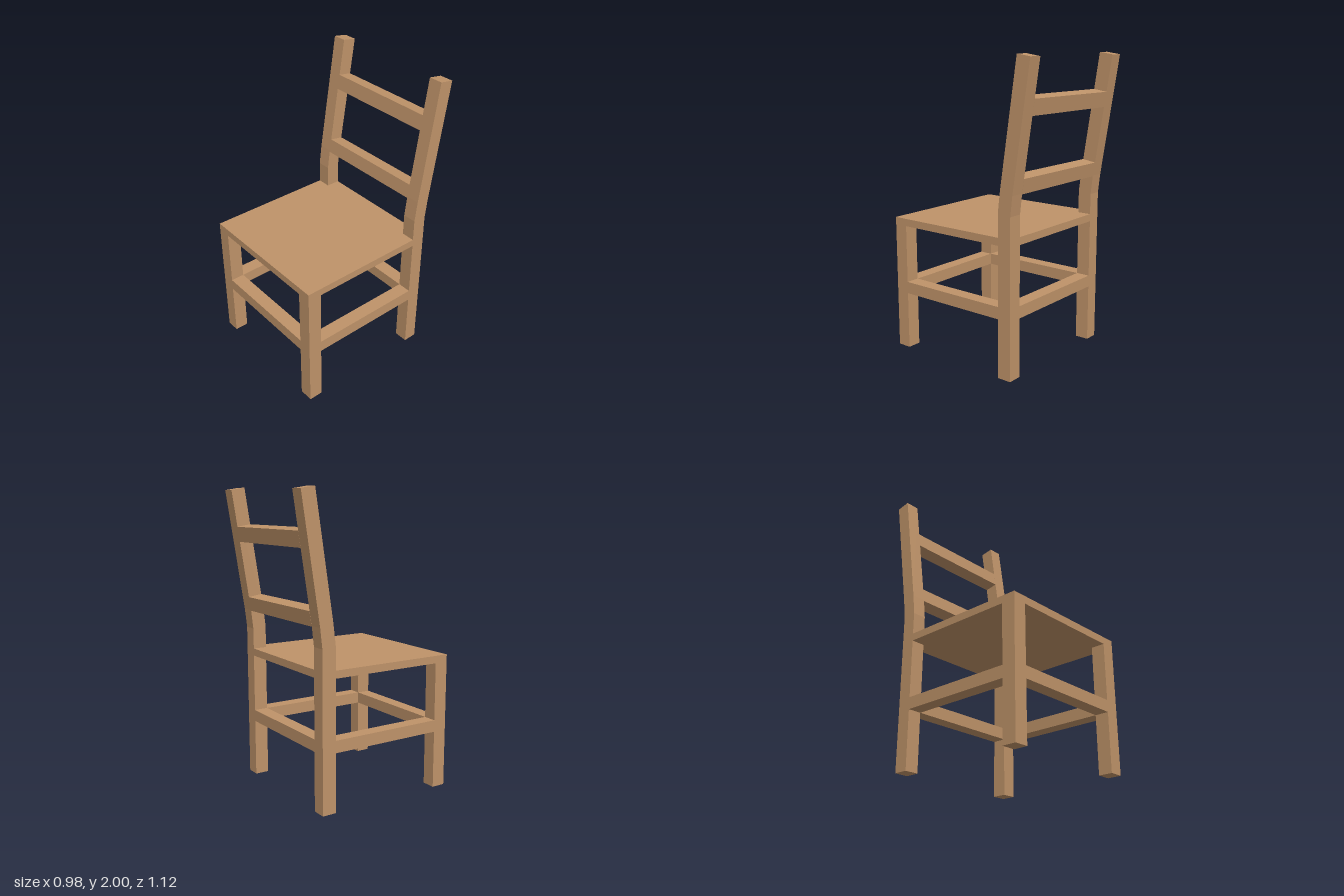
import * as THREE from 'three';

const W = 0.49;      // half width
const D = 0.56;      // half depth
const T = 0.095;     // post thickness
const FRONT = -0.325, BACK = -0.42; // planes of the upright back posts

const shapeOf = (pts) => new THREE.Shape(pts.map(([a, b]) => new THREE.Vector2(a, b)));

// Side profile given as [z, y], extruded across x and centred
function acrossX(profile, width) {
  const geo = new THREE.ExtrudeGeometry(shapeOf(profile), { depth: width, bevelEnabled: false });
  geo.translate(0, 0, -width / 2);
  geo.rotateY(-Math.PI / 2);
  return geo;
}

// Box from its minimum and maximum corners
function boxBetween(x0, x1, y0, y1, z0, z1) {
  const geo = new THREE.BoxGeometry(x1 - x0, y1 - y0, z1 - z0);
  geo.translate((x0 + x1) / 2, (y0 + y1) / 2, (z0 + z1) / 2);
  return geo;
}

export function createModel() {
  const chair = new THREE.Group();
  chair.name = 'chair';
  const wood = new THREE.MeshStandardMaterial({ color: 0xbf9369 });
  wood.name = 'wood';

  const add = (name, geo, x = 0) => {
    const mesh = new THREE.Mesh(geo, wood);
    mesh.name = name;
    mesh.position.x = x;
    chair.add(mesh);
  };

  const inner = W - T;

  // Seat board, notched around the back posts
  const seat = new THREE.ExtrudeGeometry(shapeOf([
    [-W, D], [-W, FRONT], [-inner, FRONT], [-inner, BACK],
    [inner, BACK], [inner, FRONT], [W, FRONT], [W, D],
  ]), { depth: 0.05, bevelEnabled: false });
  seat.rotateX(Math.PI / 2);
  seat.translate(0, 0.91, 0);
  add('seat', seat);

  // Bent back posts, front legs and side stretchers
  const postProfile = [
    [FRONT, 0], [FRONT, 1.06], [-0.342, 1.2], [-0.465, 2],
    [-0.56, 1.985], [-0.435, 1.18], [BACK, 1.05], [BACK, 0],
  ];
  for (const [side, s] of [['left', 1], ['right', -1]]) {
    const x = s * (W - T / 2);
    add(side + 'BackPost', acrossX(postProfile, T), x);
    add(side + 'FrontLeg', boxBetween(-T / 2, T / 2, 0, 0.86, D - T, D), x);
    add(side + 'Stretcher', boxBetween(-T / 2, T / 2, 0.39, 0.47, FRONT, D - T), x);
  }

  // Front and back stretchers
  add('frontStretcher', boxBetween(-inner, inner, 0.39, 0.47, D - T, D));
  add('backStretcher', boxBetween(-inner, inner, 0.39, 0.47, BACK, FRONT));

  // Tilted back slats, flush with the leaning part of the posts
  const lean = (y) => -0.342 - (y - 1.2) * 0.154;
  for (const [name, y0, y1] of [['lowerSlat', 1.19, 1.285], ['upperSlat', 1.66, 1.76]]) {
    add(name, acrossX([
      [lean(y0), y0], [lean(y1), y1],
      [lean(y1) - T, y1 - 0.015], [lean(y0) - T, y0 - 0.015],
    ], inner * 2));
  }

  return chair;
}
